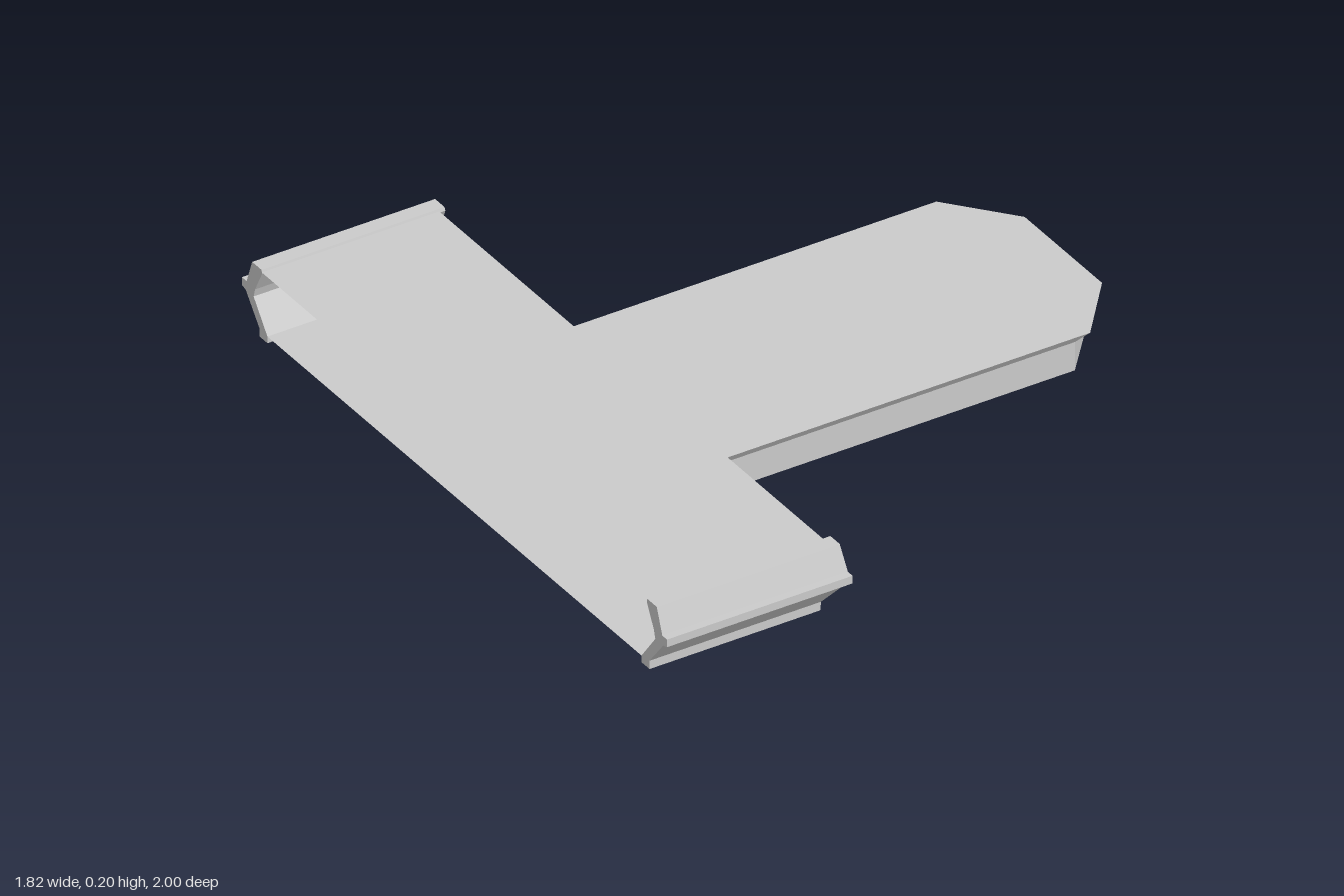
import * as THREE from 'three';

const BACK = -0.91; // open end of the cross deck
const material = new THREE.MeshStandardMaterial({ color: 0xcccccc, flatShading: true, side: THREE.DoubleSide });

function part(name, geometry) {
  const mesh = new THREE.Mesh(geometry, material);
  mesh.name = name;
  return mesh;
}

// Faceted skin between rows of [x, y, z] points, rows ordered top to bottom
function skin(rows) {
  const n = rows[0].length;
  const index = [];
  for (let r = 0; r < rows.length - 1; r++) {
    for (let i = 0; i < n - 1; i++) {
      const a = r * n + i, c = a + n;
      index.push(a, c, a + 1, a + 1, c, c + 1);
    }
  }
  const g = new THREE.BufferGeometry();
  g.setAttribute('position', new THREE.Float32BufferAttribute(rows.flat(2), 3));
  g.setIndex(index);
  const flat = g.toNonIndexed();
  flat.computeVertexNormals();
  return flat;
}

// Horizontal plate from half an outline of [x, z], mirrored across z
function plate(half, y, up) {
  const outline = [...half, ...half.map(([x, z]) => [x, -z]).reverse()];
  const shape = new THREE.Shape(outline.map(([x, z]) => new THREE.Vector2(x, z)));
  return new THREE.ShapeGeometry(shape).rotateX(up ? -Math.PI / 2 : Math.PI / 2).translate(0, y, 0);
}

// Slanted +x end of the caps at a given height
function capEnd(y) {
  if (y > 0.13) return -0.355 - (y - 0.13) * 0.11;
  if (y >= 0.105) return -0.355;
  return Math.max(-0.40, -0.355 - (0.105 - y) * 0.53);
}

// Ridged cap profile as [z, y], swept along x
const capProfile = [
  [0.908, 0.205], [0.952, 0.205], [0.978, 0.133], [1, 0.133], [1, 0.11], [0.982, 0.105],
  [0.918, 0.025], [0.918, 0], [0.88, 0], [0.88, 0.02], [0.945, 0.105], [0.938, 0.13], [0.905, 0.195],
];

function endCap(side) {
  const shape = new THREE.Shape(capProfile.map(([z, y]) => new THREE.Vector2(-side * z, y)));
  const g = new THREE.ExtrudeGeometry(shape, { depth: 1, bevelEnabled: false });
  const p = g.attributes.position;
  for (let i = 0; i < p.count; i++) {
    const y = p.getY(i);
    p.setXYZ(i, THREE.MathUtils.lerp(BACK, capEnd(y), p.getZ(i)), y, -p.getX(i));
  }
  g.computeVertexNormals();
  return g;
}

export function createModel() {
  const model = new THREE.Group();

  // Cross deck: top plate and ledged wall, open at the back edge
  model.add(part('deckTop', plate([[BACK, 0.91], [-0.38, 0.91]], 0.198, true)));
  const wall = [[-0.38, 0.198, 0.91], [-0.37, 0.131, 0.94], [-0.355, 0.131, 0.94], [-0.355, 0.105, 0.945]];
  model.add(part('deckWall', skin(wall.map(([x, y, z]) => [[x, y, z], [x, y, -z]]))));

  // Sloped lower wall on each side of the tongue
  for (const s of [1, -1]) {
    const spans = [[-0.355, 0.105, 0.945], [-0.40, 0.02, 0.885]].map(([x, y, z]) => {
      const row = [[x, y, s * z], [x, y, s * 0.345]];
      return s > 0 ? row : row.reverse();
    });
    model.add(part(s > 0 ? 'frontLowerWall' : 'backLowerWall', skin(spans)));
    model.add(part(s > 0 ? 'frontEndCap' : 'backEndCap', endCap(s)));
  }

  // Tongue with an overhanging lip and chamfered tip
  const top = [[-0.355, 0.362], [0.76, 0.362], [0.91, 0.182]];
  const base = [[-0.40, 0.345], [0.725, 0.345], [0.873, 0.173]];
  const ring = (half, y) =>
    [...half, ...half.map(([x, z]) => [x, -z]).reverse()].map(([x, z]) => [x, y, z]);
  model.add(part('tongueTop', plate(top, 0.13, true)));
  model.add(part('tongueSides', skin([ring(top, 0.13), ring(base, 0.105), ring(base, 0.02)])));

  // Single underside plate shared by deck and tongue
  model.add(part('underside', plate([[BACK, 0.885], [-0.40, 0.885], ...base], 0.02, false)));

  return model;
}
